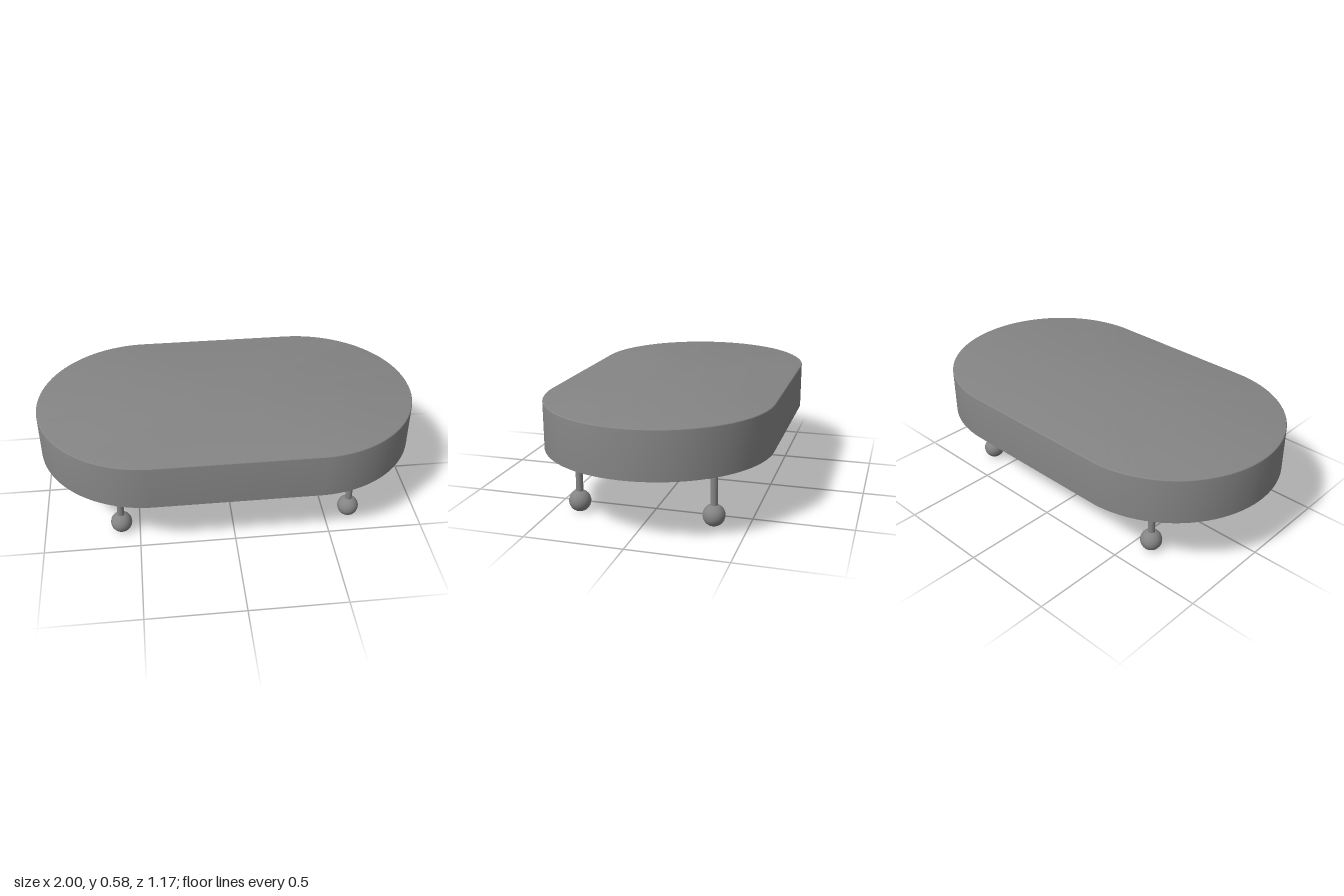
import * as THREE from 'three';
import { toCreasedNormals } from 'three/addons/utils/BufferGeometryUtils.js';

const material = new THREE.MeshStandardMaterial({ color: 0x848484 });

// Stadium-shaped slab: a lathed disc whose two halves are pulled apart along x
function slabGeometry(radius, stretch, bottom, top, bevel) {
  const profile = [new THREE.Vector2(0, bottom), new THREE.Vector2(radius, bottom)];
  const steps = 4;
  for (let i = 0; i <= steps; i++) {
    const a = (i / steps) * Math.PI / 2;
    profile.push(new THREE.Vector2(
      radius - bevel + bevel * Math.cos(a),
      top - bevel + bevel * Math.sin(a)));
  }
  profile.push(new THREE.Vector2(0, top));

  // The half-step start keeps every rim vertex clearly on one side of x = 0
  const segments = 96;
  const geometry = new THREE.LatheGeometry(profile, segments, Math.PI / segments);
  const pos = geometry.attributes.position;
  for (let i = 0; i < pos.count; i++) {
    const x = pos.getX(i);
    if (Math.abs(x) > 1e-6) pos.setX(i, x + Math.sign(x) * stretch);
  }
  return toCreasedNormals(geometry, 0.3);
}

export function createModel() {
  const model = new THREE.Group();
  model.name = 'table';

  const add = (parent, name, geometry, x, y, z) => {
    const mesh = new THREE.Mesh(geometry, material);
    mesh.name = name;
    mesh.position.set(x, y, z);
    parent.add(mesh);
  };

  // Thick top
  add(model, 'tableTop', slabGeometry(0.583, 0.417, 0.333, 0.577, 0.007), 0, 0, 0);

  // Four thin legs, each ending in a ball foot
  const legGeometry = new THREE.CylinderGeometry(0.018, 0.018, 0.28, 32);
  const footGeometry = new THREE.SphereGeometry(0.056, 32, 24);
  for (const [xName, x] of [['Right', -0.595], ['Left', 0.628]]) {
    for (const [zName, z] of [['front', 0.363], ['back', -0.333]]) {
      const leg = new THREE.Group();
      leg.name = `${zName}${xName}Leg`;
      leg.position.set(x, 0, z);
      add(leg, 'legPost', legGeometry, 0, 0.2, 0);
      add(leg, 'ballFoot', footGeometry, 0, 0.056, 0);
      model.add(leg);
    }
  }
  return model;
}
